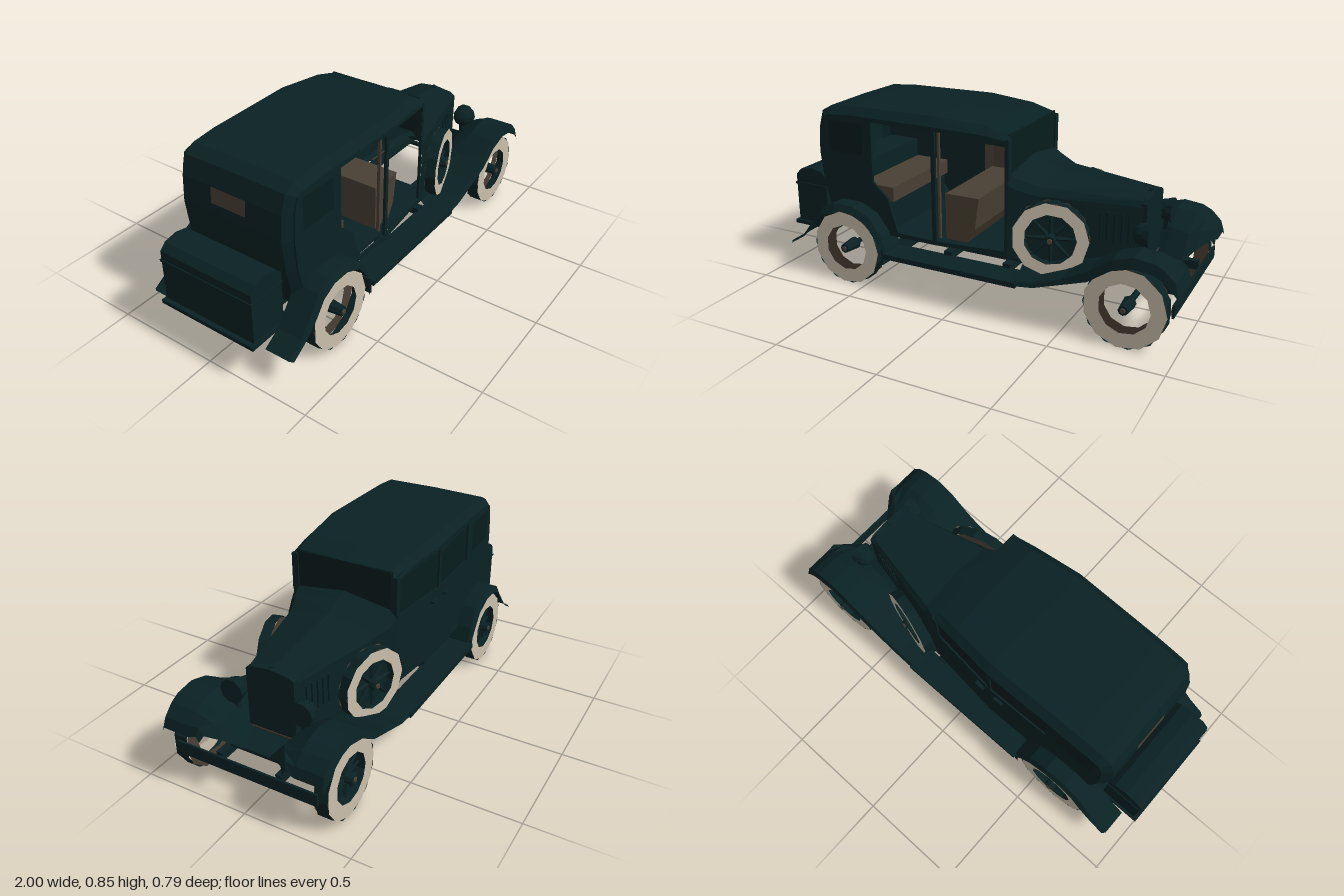
import * as THREE from 'three';

const mat = (name, color) => {
  const m = new THREE.MeshStandardMaterial({ color, side: THREE.DoubleSide, flatShading: true });
  m.name = name;
  return m;
};

export function createModel() {
  const car = new THREE.Group();
  car.name = 'vintageSaloon';
  const body = mat('dark green paint', 0x0a2123);
  const glass = mat('dark glass', 0x081c1e);
  const trim = mat('brown upholstery', 0x494035);
  const wall = mat('cream tyre', 0xcabfab);

  const add = (name, geo, m, x = 0, y = 0, z = 0, parent = car) => {
    const mesh = new THREE.Mesh(geo, m);
    mesh.name = name;
    mesh.position.set(x, y, z);
    parent.add(mesh);
    return mesh;
  };
  // box given by its limits
  const box = (name, m, x0, x1, y0, y1, z0, z1) =>
    add(name, new THREE.BoxGeometry(x1 - x0, y1 - y0, Math.abs(z1 - z0)), m,
      (x0 + x1) / 2, (y0 + y1) / 2, (z0 + z1) / 2);
  // flat-faced skin between rows of points
  const loft = (rows) => {
    const pos = [];
    for (let i = 0; i < rows.length - 1; i++)
      for (let j = 0; j < rows[i].length - 1; j++) {
        const a = rows[i][j], b = rows[i][j + 1], c = rows[i + 1][j + 1], d = rows[i + 1][j];
        pos.push(...a, ...b, ...c, ...a, ...c, ...d);
      }
    const g = new THREE.BufferGeometry();
    g.setAttribute('position', new THREE.Float32BufferAttribute(pos, 3));
    g.computeVertexNormals();
    return g;
  };
  const path = (pts, P = THREE.Shape) => new P(pts.map(p => new THREE.Vector2(...p)));
  const mirrorRow = half => [...half, ...half.slice(0, -1).reverse().map(([x, y, z]) => [x, y, -z])];
  const prism = (pts, z) => new THREE.ExtrudeGeometry(path(pts), { depth: 2 * z, bevelEnabled: false }).translate(0, 0, -z);
  // plan of the body: straight to the door pillar, then tapering forward
  const halfWidth = x => x > -0.15 ? 0.303 - (x + 0.15) * 0.105 : 0.303 - (-0.15 - x) * 0.018;

  // roof and back in one skin: x, y, edge offset in x, edge drop
  const shell = [[0.2, 0.8, 0, 0.03], [0.08, 0.83, 0, 0.04], [-0.15, 0.847, 0, 0.045], [-0.6, 0.845, 0, 0.045],
    [-0.72, 0.835, 0, 0.045], [-0.775, 0.805, 0.035, 0.02], [-0.8, 0.72, 0.045, 0], [-0.808, 0.6, 0.045, 0],
    [-0.79, 0.45, 0.04, 0], [-0.745, 0.27, 0.03, 0]];
  add('roofAndBack', loft(shell.map(([x, y, dx, dy]) => {
    const w = halfWidth(x);
    return mirrorRow([[x + dx, y - dy, w], [x, y - 0.004, w - 0.035], [x, y, 0]]);
  })), body);
  add('rearWindow', loft([[-0.804, 0.72], [-0.809, 0.645]].map(([x, y]) => [[x, y, -0.1], [x, y, 0.08]])), trim);

  // side walls: front and rear panels with openings, meeting at the pillar
  const frontPanel = [[-0.15, 0.25], [0.2, 0.25], [0.2, 0.772], [0.08, 0.792], [-0.15, 0.804]];
  const rearPanel = [[-0.15, 0.25], [-0.15, 0.804], [-0.6, 0.804], [-0.72, 0.795], [-0.745, 0.785], [-0.763, 0.72],
    [-0.771, 0.6], [-0.758, 0.45], [-0.73, 0.34], [-0.47, 0.34], [-0.4, 0.25]];
  const opening = (x0, x1, y) => [[x0, y], [x1, y], [x1, 0.765], [x0, 0.785]];
  const rearDoorway = [[-0.35, 0.27], [-0.16, 0.27], [-0.16, 0.785], [-0.48, 0.785], [-0.48, 0.5], [-0.4, 0.43]];
  const panel = (name, outline, hole, side) => {
    const shape = path(outline);
    shape.holes = [path(hole, THREE.Path)];
    const g = new THREE.ExtrudeGeometry(shape, { depth: 0.012, bevelEnabled: false });
    const p = g.attributes.position;
    for (let i = 0; i < p.count; i++) p.setZ(i, p.getZ(i) + halfWidth(p.getX(i)) - 0.012);
    add(name, g, body).scale.z = side;
  };
  panel('openFrontDoorway', frontPanel, opening(-0.14, 0.187, 0.27), 1);
  panel('openRearDoorway', rearPanel, rearDoorway, 1);
  panel('closedFrontDoor', frontPanel, opening(-0.14, 0.18, 0.595), -1);
  panel('closedRearDoor', rearPanel, opening(-0.47, -0.16, 0.595), -1);

  // strips that follow the side of the body
  const strip = (name, m, side, x0, x1, y0, y1, inset) => add(name, loft([y0, y1].map(y =>
    [x0, Math.min(x1, Math.max(x0, -0.15)), x1].map(x => [x, y, side * (halfWidth(x) - inset)]))), m);
  for (const s of [1, -1]) {
    strip('quarterWindow', glass, s, -0.72, -0.53, 0.62, 0.77, -0.002);
    strip('beltMoulding', body, s, -0.76, s > 0 ? -0.49 : 0.2, 0.576, 0.588, -0.004);
  }
  strip('frontDoorGlass', glass, -1, -0.15, 0.19, 0.585, 0.79, 0.008);
  strip('rearDoorGlass', glass, -1, -0.48, -0.155, 0.585, 0.79, 0.008);
  strip('doorTrim', trim, -1, -0.2, 0.195, 0.26, 0.57, 0.016);
  for (const x of [-0.1, -0.21]) box('doorHandle', body, x - 0.025, x + 0.025, 0.54, 0.55, -0.315, -0.29);
  box('doorPillarTrim', trim, -0.15, -0.14, 0.27, 0.79, 0.25, 0.264);

  // windscreen and its posts
  box('windscreen', glass, 0.192, 0.198, 0.62, 0.8, -0.24, 0.24);
  for (const s of [1, -1]) box('windscreenPost', body, 0.185, 0.205, 0.6, 0.78, s * 0.235, s * 0.266);

  // cowl and bonnet: x, half width, shoulder height, upper edge, ridge
  const bonnet = [[0.2, 0.267, 0.58, 0.62, 0.655], [0.24, 0.255, 0.56, 0.6, 0.637], [0.33, 0.215, 0.535, 0.57, 0.603],
    [0.76, 0.115, 0.525, 0.55, 0.565]];
  add('bonnet', loft(bonnet.map(([x, w, a, b, c]) =>
    mirrorRow([[x, 0.24, w], [x, a, w], [x, b, w * 0.9], [x, c, 0]]))), body);
  const grille = [[-0.115, 0.255], [0.115, 0.255], [0.115, 0.54], [0.09, 0.555], [0, 0.566], [-0.09, 0.555], [-0.115, 0.54]];
  add('radiator', new THREE.ExtrudeGeometry(path(grille), { depth: 0.03, bevelEnabled: false }).rotateY(Math.PI / 2), body, 0.745);
  box('radiatorFoot', trim, 0.774, 0.777, 0.258, 0.265, -0.112, 0.112);
  add('radiatorCap', new THREE.CylinderGeometry(0.01, 0.012, 0.014, 6), body, 0.755, 0.568, 0);
  for (const s of [1, -1]) for (let i = 0; i < 5; i++) {
    const x = 0.58 + i * 0.03, w = 0.215 - (x - 0.33) * 0.2326;
    box('bonnetLouvre', body, x, x + 0.012, 0.36, 0.49, s * (w - 0.01), s * (w + 0.004));
  }

  // front wing: x, crown height, inner z, inner height
  const frontWing = [[1, 0.29, 0.2, 0.28], [0.985, 0.335, 0.185, 0.31], [0.94, 0.38, 0.12, 0.28], [0.895, 0.402, 0.06, 0.235],
    [0.81, 0.412, 0.09, 0.25], [0.72, 0.385, 0.11, 0.25], [0.62, 0.315, 0.13, 0.25], [0.5, 0.25, 0.15, 0.24],
    [0.38, 0.21, 0.18, 0.21], [0.26, 0.195, 0.23, 0.195]];
  const rearWing = [[-0.93, 0.15], [-0.85, 0.2], [-0.78, 0.29], [-0.73, 0.355], [-0.66, 0.39], [-0.55, 0.39],
    [-0.46, 0.35], [-0.4, 0.27], [-0.375, 0.2], [-0.385, 0.135]];
  for (const s of [1, -1]) {
    add('frontWing', loft(frontWing.map(([x, y, zi, yi], i) => [
      [x, y - (i > 0 && i < 7 ? 0.045 : 0.02), s * 0.39], [x, y, s * 0.38], [x, y, s * 0.255],
      [x, (y + yi) / 2 + 0.02, s * (zi * 0.5 + 0.115)], [x, yi, s * zi]])), body);
    add('rearWing', loft(rearWing.map(([x, y], i) => [
      [x - Math.sign(x + 0.6) * 0.012, y - (i > 1 && i < 8 ? 0.03 : 0.005), s * 0.386], [x, y, s * 0.37],
      [x, y, s * 0.25]])), body);
    box('runningBoard', body, -0.38, 0.3, 0.172, 0.196, s * 0.26, s * 0.395);
    box('chassisRail', body, -0.95, 0.95, 0.18, 0.22, s * 0.13, s * 0.16);
  }
  box('frontApron', body, 0.74, 0.895, 0.225, 0.24, -0.13, 0.13);
  box('frontBumper', body, 0.966, 0.976, 0.165, 0.223, -0.34, 0.34);

  // underside
  box('floor', body, -0.73, 0.3, 0.235, 0.25, -0.26, 0.26);
  box('crossPanel', body, -0.392, -0.382, 0.135, 0.21, -0.385, 0.385);
  for (const x of [-0.8, -0.1, 0.2]) box('crossMember', body, x - 0.02, x + 0.02, 0.18, 0.215, -0.27, 0.27);
  for (const x of [-0.595, 0.78])
    add('axle', new THREE.CylinderGeometry(0.014, 0.014, 0.68, 6).rotateX(Math.PI / 2), body, x, 0.178, 0);
  add('differential', new THREE.SphereGeometry(0.04, 8, 6), body, -0.595, 0.185, 0);

  // seats
  add('frontSeat', prism([[-0.13, 0.26], [-0.02, 0.26], [0.02, 0.33], [0.04, 0.48], [-0.13, 0.48]], 0.23), trim);
  box('rearSeatBase', body, -0.64, -0.42, 0.25, 0.4, -0.25, 0.25);
  box('rearSeat', trim, -0.65, -0.4, 0.4, 0.47, -0.25, 0.25);
  box('rearSeatBack', body, -0.74, -0.58, 0.4, 0.56, -0.25, 0.25);

  // wheel: dark tread, cream outer side, brown inner side
  const makeWheel = (name, r, inner, depth, spokes) => {
    const w = new THREE.Group();
    w.name = name;
    const band = radius => new THREE.CylinderGeometry(radius, radius, depth, 11, 1, true)
      .rotateX(Math.PI / 2).rotateZ(-Math.PI / 2);
    add('tread', band(r), body, 0, 0, 0, w);
    add('tyreOuterSide', new THREE.RingGeometry(inner, r, 11), wall, 0, 0, depth / 2, w);
    add('tyreInnerSide', new THREE.RingGeometry(inner, r, 11), trim, 0, 0, -depth / 2, w);
    if (spokes) add('rim', band(inner), body, 0, 0, 0, w);
    add('hub', new THREE.CylinderGeometry(0.022, 0.03, depth + 0.02, 8).rotateX(Math.PI / 2), body, 0, 0, 0.004, w);
    add('hubCap', new THREE.CylinderGeometry(0.011, 0.013, 0.006, 6).rotateX(Math.PI / 2), trim, 0, 0, depth / 2 + 0.017, w);
    for (let i = 0; i < spokes; i++) {
      const g = new THREE.CylinderGeometry(0.006, 0.013, inner, 4).translate(0, inner / 2, 0);
      add('spoke', g, body, 0, 0, 0, w).rotation.z = i * Math.PI * 2 / spokes;
    }
    car.add(w);
    return w;
  };
  for (const s of [1, -1]) {
    for (const x of [-0.595, 0.78]) {
      const w = makeWheel('roadWheel', 0.18, 0.112, 0.065, s < 0 ? 12 : 0);
      w.position.set(x, 0.178, s * 0.343);
      if (s < 0) w.rotation.y = Math.PI;
    }
    // side-mounted spare, lying along the bonnet
    const spare = makeWheel('spareWheel', 0.168, 0.115, 0.05, 8);
    add('spareDisc', new THREE.CircleGeometry(0.115, 11), body, 0, 0, -0.01, spare);
    spare.position.set(0.4, 0.37, s * 0.25);
    spare.rotation.y = s > 0 ? 0.27 : Math.PI - 0.27;
    // headlamps
    const lamp = new THREE.CylinderGeometry(0.056, 0.05, 0.03, 10).rotateZ(-Math.PI / 2);
    add('headlampRim', lamp, body, 0.8, 0.43, s * 0.167);
    add('headlampBowl', new THREE.SphereGeometry(0.05, 10, 5, 0, Math.PI * 2, 0, Math.PI / 2).rotateZ(Math.PI / 2), body, 0.786, 0.43, s * 0.167);
    box('lampPost', body, 0.775, 0.795, 0.27, 0.39, s * 0.155, s * 0.175);
  }

  // luggage trunk and rack
  add('trunk', prism([[-0.98, 0.21], [-0.8, 0.21], [-0.8, 0.45], [-0.83, 0.48], [-0.89, 0.492], [-0.95, 0.48], [-0.98, 0.45]], 0.24), body);
  box('trunkLidBand', body, -0.985, -0.8, 0.4, 0.41, -0.245, 0.245);
  box('luggageRack', body, -1, -0.76, 0.19, 0.208, -0.25, 0.25);
  return car;
}
